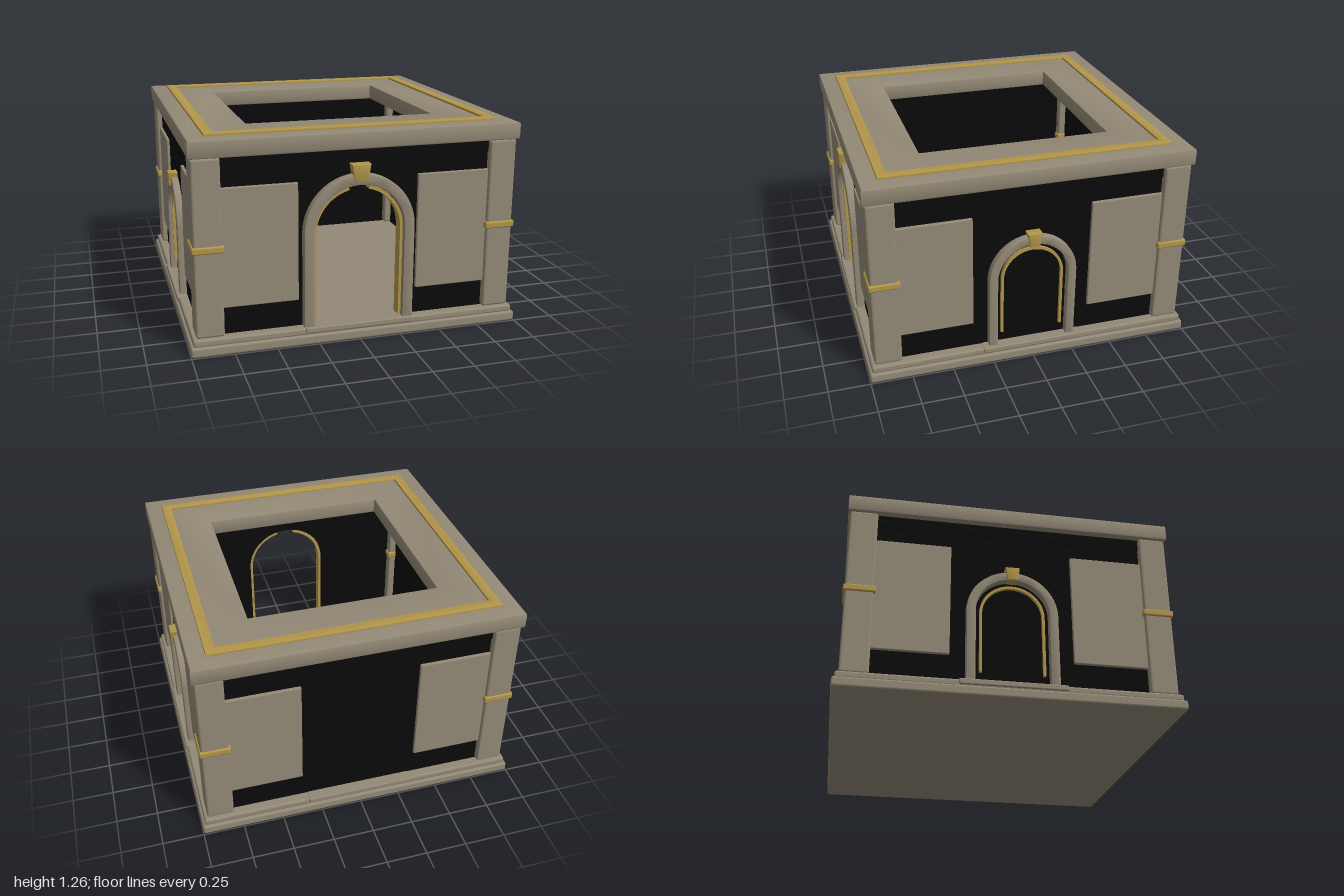
import * as THREE from 'three';
import { toCreasedNormals } from 'three/addons/utils/BufferGeometryUtils.js';
import { RoundedBoxGeometry } from 'three/addons/geometries/RoundedBoxGeometry.js';

const material = (name, color) => {
  const m = new THREE.MeshStandardMaterial({ color });
  m.name = name;
  return m;
};

export function createModel() {
  const stone = material('stone', 0x938976);
  const gold = material('gold', 0xb2964a);
  const black = material('black', 0x0a0a0a);
  const model = new THREE.Group();
  model.name = 'pavilion';

  const add = (parent, name, geometry, mat, x = 0, y = 0, z = 0) => {
    const mesh = new THREE.Mesh(geometry, mat);
    mesh.name = name;
    mesh.position.set(x, y, z);
    parent.add(mesh);
    return mesh;
  };
  const rounded = (w, h, d, r = 0.01) => new RoundedBoxGeometry(w, h, d, 2, r);

  // Extrudes a shape from z0 to z1, with an optional inset bevel
  const extrude = (shape, z0, z1, bevel = 0) => {
    const g = new THREE.ExtrudeGeometry(shape, {
      depth: z1 - z0 - 2 * bevel, curveSegments: 32, bevelEnabled: bevel > 0,
      bevelSize: bevel, bevelThickness: bevel, bevelOffset: -bevel, bevelSegments: 2,
    });
    g.translate(0, 0, z0 + bevel);
    return toCreasedNormals(g, 0.5);
  };

  // Round-headed band with straight legs
  const archBand = (outer, inner, foot, spring) => {
    const s = new THREE.Shape();
    s.moveTo(outer, foot);
    s.lineTo(outer, spring);
    s.absarc(0, spring, outer, 0, Math.PI, false);
    s.lineTo(-outer, foot);
    s.lineTo(-inner, foot);
    s.lineTo(-inner, spring);
    s.absarc(0, spring, inner, Math.PI, 0, true);
    s.lineTo(inner, foot);
    s.closePath();
    return s;
  };

  // Square ring lying flat
  const squareRing = (outer, inner, y0, y1, bevel) => {
    const square = (Kind, h) => new Kind([[-h, -h], [h, -h], [h, h], [-h, h]].map(p => new THREE.Vector2(...p)));
    const s = square(THREE.Shape, outer);
    s.holes.push(square(THREE.Path, inner));
    return extrude(s, y0, y1, bevel).rotateX(-Math.PI / 2);
  };

  const keystone = (parent, bottom, top, low, high) => {
    const s = new THREE.Shape();
    s.moveTo(-low, bottom);
    s.lineTo(low, bottom);
    s.lineTo(high, top);
    s.lineTo(-high, top);
    s.closePath();
    add(parent, 'keystone', extrude(s, 0.92, 0.985, 0.006), gold);
  };

  // Stepped plinth and floor
  add(model, 'lowerPlinth', rounded(2, 0.06, 2, 0.014), stone, 0, 0.03, 0);
  add(model, 'floor', rounded(1.97, 0.045, 1.97, 0.014), stone, 0, 0.077, 0);

  // Four sides, all built facing +z and then turned
  const sides = ['front', 'left', 'back', 'right'];
  sides.forEach((name, i) => {
    const side = new THREE.Group();
    side.name = name + 'Side';
    side.rotation.y = i * Math.PI / 2;
    model.add(side);

    const wall = new THREE.Shape();
    wall.moveTo(-0.9, 0.09);
    if (i === 0) {
      wall.lineTo(-0.275, 0.09);
      wall.lineTo(-0.275, 0.665);
      wall.absarc(0, 0.665, 0.275, Math.PI, 0, true);
      wall.lineTo(0.275, 0.09);
    }
    wall.lineTo(0.9, 0.09);
    wall.lineTo(0.9, 1.148);
    wall.lineTo(-0.9, 1.148);
    wall.closePath();
    add(side, 'wall', extrude(wall, 0.85, 0.925), black);
    add(side, 'frieze', new THREE.BoxGeometry(1.7, 0.075, 0.1), black, 0, 1.11, 0.885);
    add(side, 'doorStep', rounded(i % 2 ? 0.62 : 0.66, 0.035, 0.1, 0.008), stone, 0, 0.085, 0.943);

    for (const s of [-1, 1])
      add(side, 'wallPanel', rounded(0.46, 0.705, 0.03, 0.006), stone, s * 0.59, 0.617, 0.929);

    if (i === 0) {
      // Open doorway with gilded lining, broken at the crown
      add(side, 'doorFrame', extrude(archBand(0.335, 0.27, 0.1, 0.665), 0.9, 0.975, 0.01), stone);
      for (const s of [-1, 1]) {
        const mid = s > 0 ? 0 : Math.PI;
        const end = s > 0 ? 1.34 : Math.PI - 1.34;
        const t = new THREE.Shape();
        t.moveTo(s * 0.272, 0.1);
        t.lineTo(s * 0.272, 0.655);
        t.absarc(0, 0.655, 0.272, mid, end, s < 0);
        t.absarc(0, 0.655, 0.254, end, mid, s > 0);
        t.lineTo(s * 0.254, 0.1);
        t.closePath();
        add(side, 'doorTrim', extrude(t, 0.87, 0.94), gold);
      }
      keystone(side, 0.96, 1.06, 0.04, 0.057);
    } else if (i !== 2) {
      // Blind arch
      add(side, 'archFrame', extrude(archBand(0.27, 0.215, 0.1, 0.545), 0.9, 0.97, 0.01), stone);
      add(side, 'archTrim', extrude(archBand(0.192, 0.176, 0.17, 0.54), 0.91, 0.945), gold);
      keystone(side, 0.755, 0.84, 0.03, 0.043);
    }
  });

  // Corner pillars with gold bands
  for (const x of [-1, 1]) for (const z of [-1, 1]) {
    add(model, 'cornerPillar', rounded(0.165, 1.045, 0.165, 0.015), stone, x * 0.882, 0.622, z * 0.882);
    add(model, 'pillarBand', rounded(0.185, 0.042, 0.185, 0.01), gold, x * 0.882, 0.625, z * 0.882);
  }

  // Open roof slab with inlaid gold border
  add(model, 'roof', squareRing(0.977, 0.578, 1.145, 1.248, 0.012), stone);
  add(model, 'roofBorder', squareRing(0.872, 0.812, 1.235, 1.262, 0.004), gold);
  return model;
}
